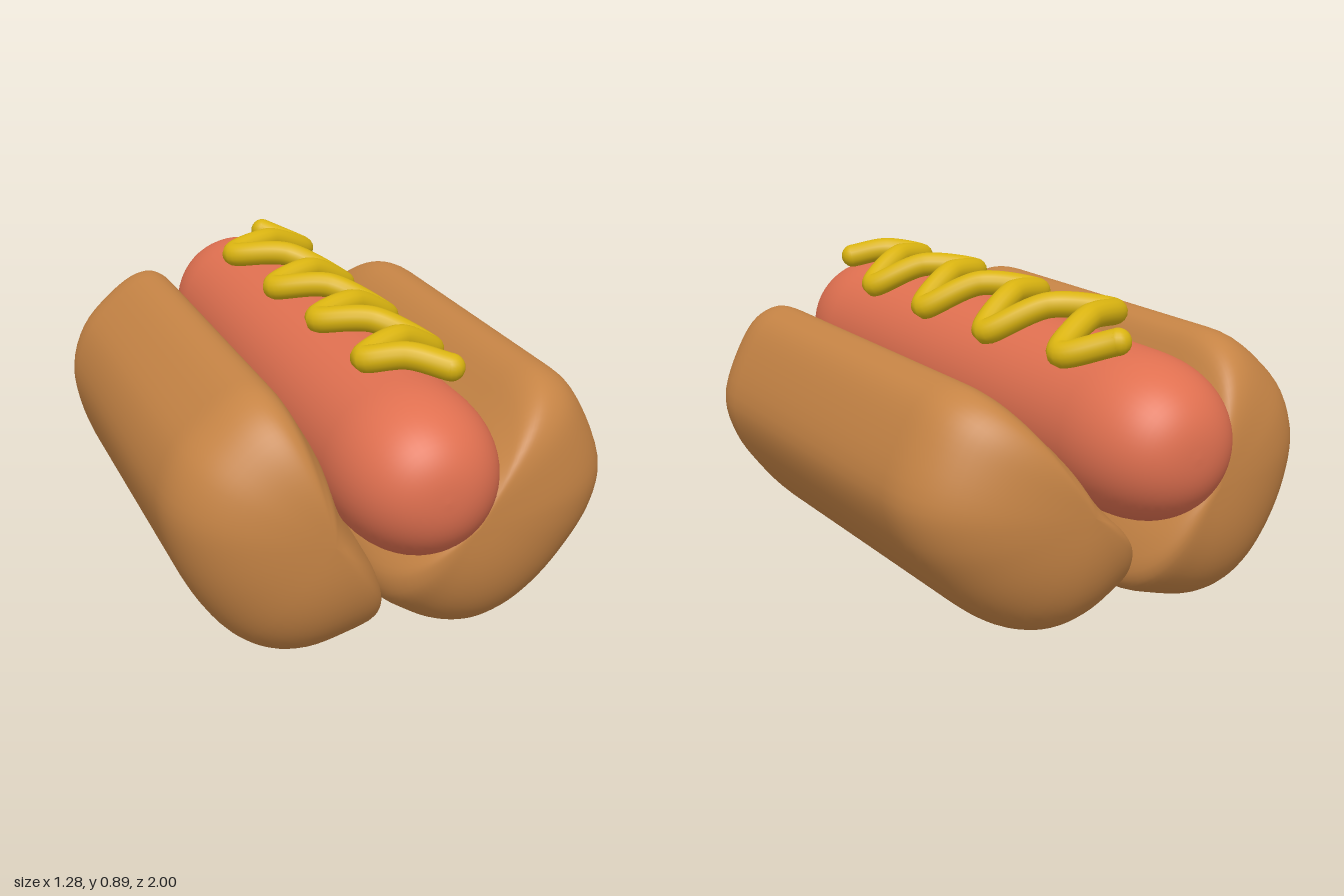
import * as THREE from 'three';

const bread = new THREE.MeshStandardMaterial({ color: 0xc68445 });
const meat = new THREE.MeshStandardMaterial({ color: 0xe07050 });
const sauce = new THREE.MeshStandardMaterial({ color: 0xd9b310 });

// Smooth closed outline through [x, y] points, clockwise as seen from the front
function outline(points, count) {
  const curve = new THREE.CatmullRomCurve3(points.map(([x, y]) => new THREE.Vector3(x, y, 0)), true);
  return curve.getPoints(count).slice(0, count);
}

// Sweep an outline along z; beyond +-straight it shrinks onto (cx, cy) along a superellipse
function loft(section, cx, cy, straight, half, power) {
  const steps = 18, front = [];
  for (let i = 0; i <= steps; i++) {
    const a = (i / steps) * Math.PI / 2;
    const z = straight + (half - straight) * Math.pow(Math.cos(a), 2 / power);
    front.push([z, i === 0 ? 0 : Math.pow(Math.sin(a), 2 / power)]);
  }
  const rings = [...front, [straight / 2, 1], [0, 1], [-straight / 2, 1],
    ...front.map(([z, s]) => [-z, s]).reverse()];
  const n = section.length, pos = [], index = [];
  rings.forEach(([z, s], i) => {
    section.forEach((p, j) => {
      pos.push(cx + (p.x - cx) * s, cy + (p.y - cy) * s, z);
      if (i === rings.length - 1) return;
      const a = i * n + j, b = i * n + (j + 1) % n;
      index.push(a, b, a + n, b, b + n, a + n);
    });
  });
  const geo = new THREE.BufferGeometry();
  geo.setAttribute('position', new THREE.Float32BufferAttribute(pos, 3));
  geo.setIndex(index);
  geo.computeVertexNormals();
  return geo;
}

function add(parent, name, geo, material) {
  const mesh = new THREE.Mesh(geo, material);
  mesh.name = name;
  parent.add(mesh);
  return mesh;
}

export function createModel() {
  const model = new THREE.Group();
  model.name = 'hotDog';

  // Bun halves, leaning outwards at slightly different angles
  const leftSection = outline([
    [0.44, 0.73], [0.515, 0.7], [0.58, 0.61], [0.637, 0.45], [0.61, 0.33], [0.54, 0.22],
    [0.44, 0.11], [0.33, 0.035], [0.22, 0.005], [0.12, 0.02], [0.03, 0.065], [-0.045, 0.125],
    [-0.058, 0.2], [-0.015, 0.275], [0.06, 0.35], [0.14, 0.44], [0.22, 0.55], [0.3, 0.635], [0.38, 0.71],
  ], 80);
  add(model, 'leftBunHalf', loft(leftSection, 0.17, 0.39, 0.5, 0.805, 2.5), bread);

  const rightSection = outline([
    [-0.37, 0.777], [-0.43, 0.765], [-0.52, 0.7], [-0.6, 0.61], [-0.641, 0.48], [-0.62, 0.34],
    [-0.56, 0.2], [-0.47, 0.08], [-0.38, 0.022], [-0.28, 0.005], [-0.16, 0.03], [-0.06, 0.07],
    [-0.038, 0.12], [-0.06, 0.22], [-0.11, 0.32], [-0.16, 0.41], [-0.205, 0.51], [-0.24, 0.61],
    [-0.28, 0.685], [-0.325, 0.755],
  ].reverse(), 80);
  add(model, 'rightBunHalf', loft(rightSection, -0.24, 0.4, 0.5, 0.805, 2.5), bread);

  // Sausage: a round section with blunt rounded ends
  const circle = Array.from({ length: 48 }, (_, i) => {
    const a = (i / 48) * Math.PI * 2;
    return new THREE.Vector2(0.226 * Math.sin(a), 0.226 * Math.cos(a));
  });
  const sausage = add(model, 'sausage', loft(circle, 0, 0, 0.7, 1, 2.4), meat);
  sausage.position.set(-0.01, 0.576, 0);
  sausage.rotation.y = -0.008;

  // Mustard zigzag draped over the sausage
  const turns = [
    [0.06, 0.832, -0.73], [0.165, 0.79, -0.62], [-0.125, 0.84, -0.45], [0.168, 0.775, -0.24],
    [-0.11, 0.835, -0.08], [0.168, 0.778, 0.12], [-0.1, 0.84, 0.27], [0.163, 0.785, 0.46],
    [-0.093, 0.835, 0.61], [0.1, 0.83, 0.735],
  ];
  const path = [];
  turns.forEach(([x, y, z], i) => {
    path.push(new THREE.Vector3(x, y, z));
    const next = turns[i + 1];
    // Crest halfway between two turns
    if (next && i > 0) path.push(new THREE.Vector3((x + next[0]) / 2, 0.853, (z + next[2]) / 2));
  });
  const mustard = new THREE.Group();
  mustard.name = 'mustard';
  model.add(mustard);
  const radius = 0.037;
  add(mustard, 'mustardLine', new THREE.TubeGeometry(new THREE.CatmullRomCurve3(path), 260, radius, 16), sauce);
  for (const end of [path[0], path[path.length - 1]]) {
    add(mustard, 'mustardTip', new THREE.SphereGeometry(radius, 16, 12), sauce).position.copy(end);
  }
  return model;
}
